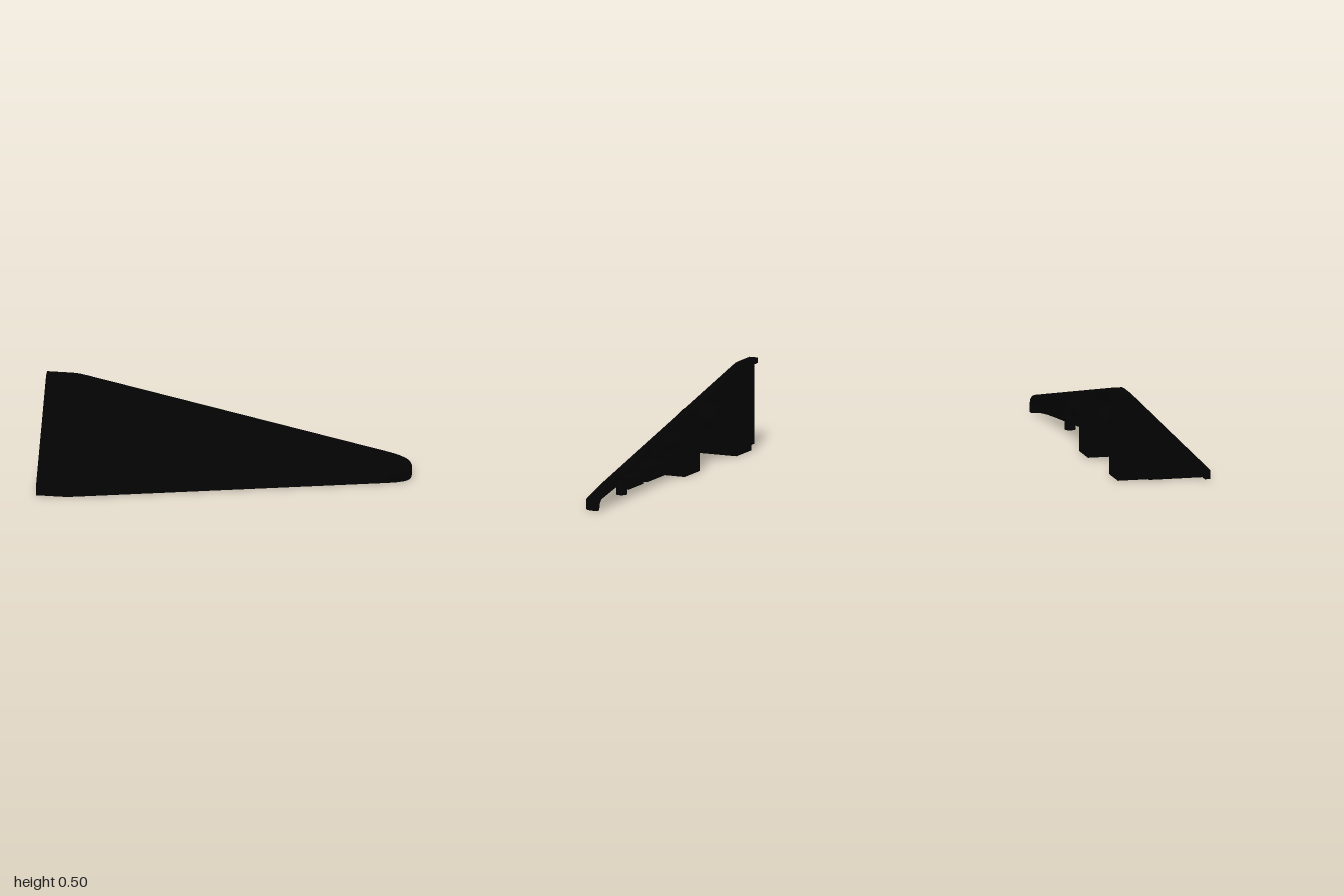
import * as THREE from 'three';

const black = new THREE.MeshStandardMaterial({ color: 0x030303 });
black.name = 'matte black';

// Height (and depth) of the tapered section at a given x
const STATIONS = [[-1, 0.5], [-0.86, 0.5], [-0.82, 0.497], [-0.78, 0.489], [0.88, 0.124],
  [0.93, 0.11], [0.97, 0.092], [0.99, 0.074], [1, 0.05]];
function sizeAt(x) {
  for (let i = 1; i < STATIONS.length; i++) {
    const [x0, s0] = STATIONS[i - 1], [x1, s1] = STATIONS[i];
    if (x <= x1) return s0 + (s1 - s0) * (x - x0) / (x1 - x0);
  }
  return 0.05;
}

// Faceted solid through rings of [z, y] points placed along x
function loft(xs, ringAt) {
  const rings = xs.map(x => ringAt(x).map(([z, y]) => [x, y, z]));
  const pos = [], n = rings[0].length;
  const tri = (...pts) => pts.forEach(p => pos.push(...p));
  for (let k = 0; k < rings.length - 1; k++) {
    const a = rings[k], b = rings[k + 1];
    for (let i = 0; i < n; i++) {
      const j = (i + 1) % n;
      tri(a[i], a[j], b[i]);
      tri(b[i], a[j], b[j]);
    }
  }
  const cap = (ring, sign) => {
    const flat = ring.map(p => new THREE.Vector2(p[2], p[1]));
    for (const [i, j, k] of THREE.ShapeUtils.triangulateShape(flat, [])) {
      const area = THREE.ShapeUtils.area([flat[i], flat[j], flat[k]]);
      if (area * sign < 0) tri(ring[i], ring[j], ring[k]);
      else tri(ring[i], ring[k], ring[j]);
    }
  };
  cap(rings[0], -1);
  cap(rings[rings.length - 1], 1);
  const g = new THREE.BufferGeometry();
  g.setAttribute('position', new THREE.Float32BufferAttribute(pos, 3));
  g.computeVertexNormals();
  return g;
}

export function createModel() {
  const model = new THREE.Group();
  model.name = 'taperedHousing';
  const add = (name, geo, x = 0, y = 0, z = 0) => {
    const m = new THREE.Mesh(geo, black);
    m.name = name;
    m.position.set(x, y, z);
    model.add(m);
    return m;
  };
  const box = (name, x0, x1, y0, y1, z0, z1) =>
    add(name, new THREE.BoxGeometry(x1 - x0, y1 - y0, z1 - z0), (x0 + x1) / 2, (y0 + y1) / 2, (z0 + z1) / 2);
  const cyl = (name, r, len, axis, x, y, z) => {
    const g = new THREE.CylinderGeometry(r, r, len, 24);
    if (axis === 'x') g.rotateZ(Math.PI / 2);
    if (axis === 'z') g.rotateX(Math.PI / 2);
    return add(name, g, x, y, z);
  };

  // Sloping outer shell with narrow top and bottom lips, open behind and below
  add('outerShell', loft(STATIONS.map(p => p[0]), x => {
    const s = sizeAt(x), t = x > 0.995 ? 0.045 : 0.03;
    return [[-0.25, s], [-0.2, s], [-0.25 + s, 0.05], [-0.25 + s, 0],
      [-0.25 + s - t, 0], [-0.25 + s - t, 0.05 - 0.4 * t], [-0.2 - 0.4 * t, s - t], [-0.25, s - t]];
  }));

  // Solid bulkheads filling the section
  const solid = (name, x0, x1, bottom = 0) =>
    add(name, loft([x0, x1], x => {
      const s = sizeAt(x) - 0.02;
      return [[-0.25, s], [-0.21, s], [-0.25 + s, 0.04], [-0.25 + s, bottom], [-0.25, bottom]];
    }));
  solid('endBulkhead', -0.92, -0.73);
  solid('middleBulkhead', -0.27, -0.08);
  solid('endFlange', -0.955, -0.92, 0.03);
  box('endSill', -0.94, -0.92, 0, 0.03, -0.08, 0.22);

  // Latch on the rear of the middle bulkhead
  box('rearLatch', -0.21, -0.14, 0.1, 0.15, -0.252, -0.24);

  // Access panel on the slope, flush at its left edge and raised at its right
  const panel = add('accessPanel', new THREE.BoxGeometry(0.15, 0.18, 0.01));
  const across = new THREE.Vector3(1, -0.07, -0.07).normalize();
  const out = new THREE.Vector3(0.14, 1, 1).normalize();
  panel.quaternion.setFromRotationMatrix(
    new THREE.Matrix4().makeBasis(across, new THREE.Vector3().crossVectors(out, across), out));
  panel.position.set(-0.455, 0.245, sizeAt(-0.455) - 0.2 - 0.245);

  // Large bay: drum, upright canister and open floor grating
  cyl('bayDrum', 0.062, 0.1, 'z', -0.5, 0.26, -0.2);
  cyl('bayCanister', 0.055, 0.06, 'y', -0.5, 0.045, 0.045);
  for (const z of [-0.02, 0.06]) box('floorRail', -0.73, -0.27, 0.02, 0.04, z - 0.01, z + 0.01);
  for (const x of [-0.64, -0.38]) box('floorCrossbar', x - 0.015, x + 0.015, 0.02, 0.04, -0.02, 0.14);

  // Ribs along the inside of the slope
  for (const x of [-0.68, -0.32, 0, 0.16, 0.42, 0.64, 0.8]) {
    add('slopeRib', loft([x - 0.012, x + 0.012], q => {
      const s = sizeAt(q) - 0.02, w = 0.03;
      return [[-0.21, s], [-0.25 + s, 0.04], [-0.25 + s - w, 0.04], [-0.21, s - w]];
    }));
  }

  // Machinery in the narrow end
  cyl('horizontalTank', 0.038, 0.2, 'x', 0.04, 0.205, -0.205);
  cyl('roundPort', 0.034, 0.04, 'z', 0.22, 0.185, -0.215);
  cyl('downPipe', 0.03, 0.07, 'y', 0.51, 0.035, -0.15);
  box('lowerBoxLarge', -0.08, 0.14, 0, 0.08, -0.13, -0.03);
  box('lowerBoxMedium', 0.19, 0.38, 0, 0.06, -0.13, -0.06);
  return model;
}
